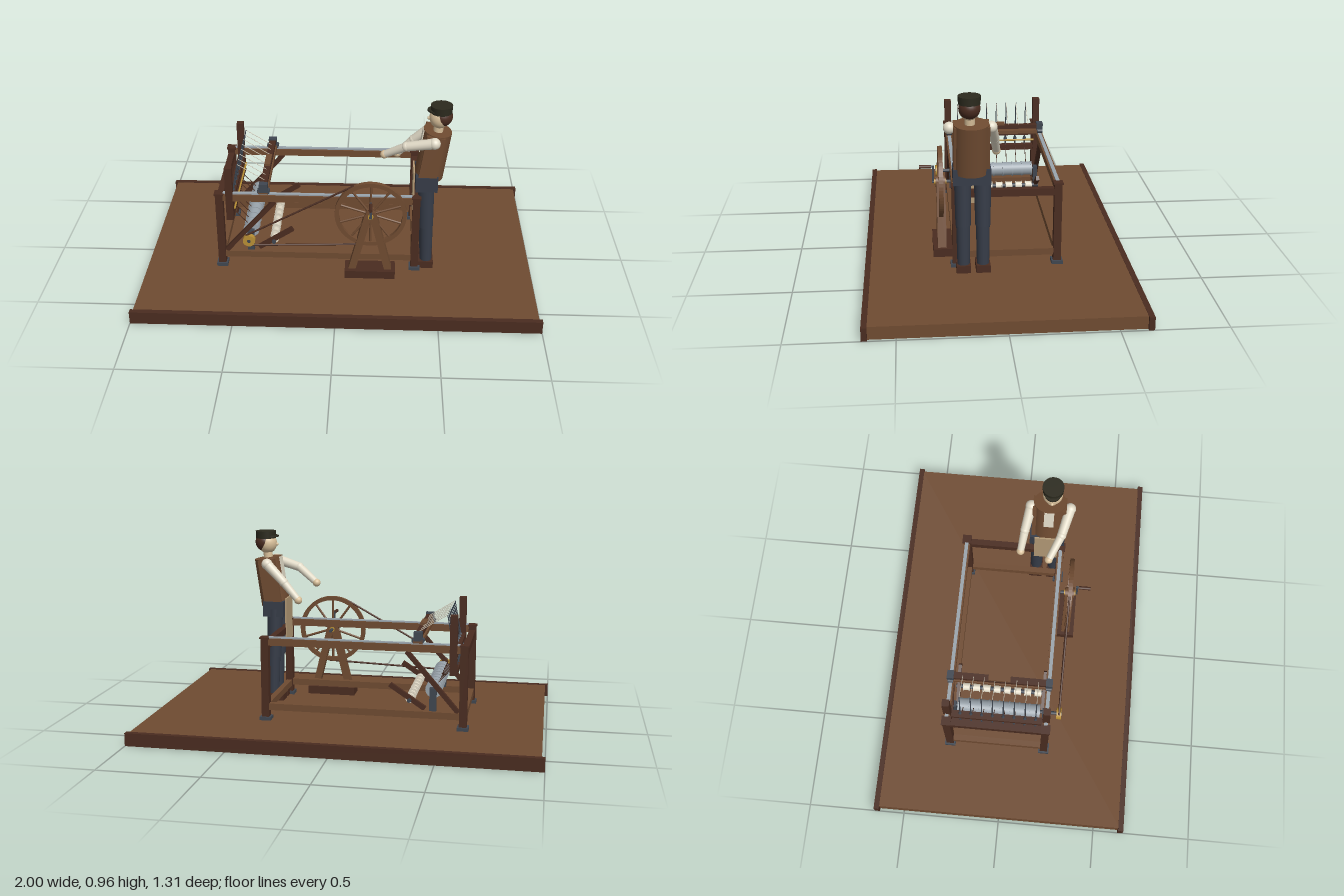
import * as THREE from 'three';

const mat = (name, color) => {
  const m = new THREE.MeshStandardMaterial({ color });
  m.name = name;
  return m;
};

export function createModel() {
  const root = new THREE.Group();
  const wood = mat('wood', 0x6f4b31);
  const darkWood = mat('dark wood', 0x4a2c20);
  const steel = mat('steel', 0x9aa4ac);
  const iron = mat('iron', 0x3f4650);
  const trousers = mat('trouser cloth', 0x363c48);
  const cream = mat('cream cloth', 0xe0d9c6);
  const brass = mat('brass', 0xb88f35);
  const capCloth = mat('cap cloth', 0x2c2a1e);
  const skin = mat('skin', 0xd9c09a);
  const tan = mat('apron cloth', 0xb39a76);

  const V = (x, y, z) => new THREE.Vector3(x, y, z);
  const add = (name, geo, m, x = 0, y = 0, z = 0, parent = root) => {
    const mesh = new THREE.Mesh(geo, m);
    mesh.name = name;
    mesh.position.set(x, y, z);
    parent.add(mesh);
    return mesh;
  };
  const box = (name, m, w, h, d, x, y, z, parent) => add(name, new THREE.BoxGeometry(w, h, d), m, x, y, z, parent);
  // Round bar between two points
  const bar = (name, m, a, b, r0, r1 = r0, seg = 12, parent = root) => {
    const dir = b.clone().sub(a);
    const mesh = add(name, new THREE.CylinderGeometry(r1, r0, dir.length(), seg), m, 0, 0, 0, parent);
    mesh.position.copy(a).add(b).multiplyScalar(0.5);
    mesh.quaternion.setFromUnitVectors(V(0, 1, 0), dir.normalize());
  };
  // Square beam in an x-y plane between two points
  const beam = (name, m, x0, y0, x1, y1, z, w, d) => {
    const mesh = box(name, m, Math.hypot(x1 - x0, y1 - y0), w, d, (x0 + x1) / 2, (y0 + y1) / 2, z);
    mesh.rotation.z = Math.atan2(y1 - y0, x1 - x0);
  };

  // Floor board with end battens
  box('floor', wood, 1.97, 0.063, 1.27, 0, 0.0315, 0);
  for (const s of [-1, 1]) box('floorBatten', darkWood, 2, 0.065, 0.027, 0, 0.0325, s * 0.641);

  // Main frame
  const zs = [-0.292, 0.205], xs = [-0.6, 0.39], zMid = -0.044;
  for (const z of zs) {
    for (const x of xs) {
      box('post', darkWood, 0.038, 0.415, 0.038, x, 0.272, z);
      box('postFoot', iron, 0.056, 0.018, 0.056, x, 0.071, z);
      box('postCap', darkWood, 0.048, 0.008, 0.048, x, 0.484, z);
    }
    box('topRail', wood, 0.99, 0.036, 0.034, -0.105, 0.465, z);
    box('steelTrack', steel, 0.95, 0.008, 0.018, -0.105, 0.486, z);
    box('bottomRail', wood, 0.99, 0.034, 0.03, -0.105, 0.132, z);
    beam('brace', darkWood, -0.575, 0.15, -0.32, 0.445, z, 0.022, 0.022);
  }
  for (const x of xs) {
    box('topCrossbeam', darkWood, 0.032, 0.036, 0.5, x, 0.443, zMid);
    box('bottomCrossbeam', wood, 0.03, 0.034, 0.5, x, 0.127, zMid);
  }

  // Spindle rack
  for (const z of zs) box('rackPost', darkWood, 0.036, 0.295, 0.036, -0.548, 0.485, z);
  box('spindleRail', darkWood, 0.036, 0.028, 0.5, -0.55, 0.348, zMid);
  box('upperSpindleRail', darkWood, 0.036, 0.02, 0.5, -0.548, 0.432, zMid);
  bar('brassRod', brass, V(-0.525, 0.395, -0.28), V(-0.525, 0.395, 0.2), 0.005);

  // Spindles with whorls, yarn and drive cords, plus the bobbins below
  for (let i = 0; i < 8; i++) {
    const z = -0.23 + i * 0.0545;
    const at = (t) => V(-0.56 + 0.05 * t, 0.35 + 0.27 * t, z);
    bar('spindle', iron, at(0), at(1), 0.004, 0.0025, 8);
    bar('whorl', iron, at(0.16), at(0.21), 0.011, 0.007);
    bar('spindleCollar', iron, at(0.33), at(0.38), 0.009, 0.005);
    bar('yarn', cream, at(1), V(-0.375, 0.535, z), 0.0018, 0.0018, 5);
    bar('driveCord', darkWood, at(0.1), V(-0.47, 0.28, z), 0.002, 0.002, 5);
    const bob = add('bobbin', new THREE.CylinderGeometry(0.02, 0.02, 0.032, 16), cream, -0.333, 0.195, z);
    bob.rotation.x = Math.PI / 2;
    for (const s of [-1, 1])
      add('bobbinFlange', new THREE.CylinderGeometry(0.023, 0.023, 0.004, 16), cream, 0, s * 0.016, 0, bob);
  }
  bar('bobbinAxle', iron, V(-0.333, 0.195, -0.285), V(-0.333, 0.195, 0.2), 0.011);
  for (const z of [-0.27, 0.182]) beam('creelArm', darkWood, -0.41, 0.155, -0.235, 0.27, z, 0.024, 0.018);

  // Drive drum and its bearings
  bar('drum', steel, V(-0.45, 0.25, -0.26), V(-0.45, 0.25, 0.17), 0.037, 0.037, 32);
  for (let i = 0; i < 9; i++) {
    const z = -0.257 + i * 0.053;
    bar('drumRing', steel, V(-0.45, 0.25, z - 0.003), V(-0.45, 0.25, z + 0.003), 0.041, 0.041, 32);
  }
  bar('drumShaft', iron, V(-0.45, 0.25, -0.29), V(-0.45, 0.25, 0.285), 0.009);
  bar('drivePulley', brass, V(-0.45, 0.25, 0.256), V(-0.45, 0.25, 0.282), 0.031, 0.031, 24);
  for (const z of [-0.28, 0.193]) box('drumBearing', iron, 0.034, 0.12, 0.022, -0.45, 0.205, z);

  // Clasp carriage riding on the tracks
  box('lowerClasp', wood, 0.045, 0.018, 0.53, -0.375, 0.498, zMid);
  box('upperClasp', darkWood, 0.034, 0.02, 0.51, -0.375, 0.526, zMid);
  box('claspHandle', wood, 0.03, 0.014, 0.11, -0.375, 0.542, -0.045);
  for (const z of zs) {
    box('carriageEnd', iron, 0.042, 0.045, 0.034, -0.375, 0.522, z);
    for (const x of [-0.395, -0.355])
      bar('carriageRoller', iron, V(x, 0.502, z - 0.014), V(x, 0.502, z + 0.014), 0.012);
  }

  // Hand wheel
  const wheel = new THREE.Group();
  wheel.name = 'handWheel';
  wheel.position.set(0.163, 0.42, 0.272);
  root.add(wheel);
  const rimShape = new THREE.Shape().absarc(0, 0, 0.179, 0, Math.PI * 2);
  rimShape.holes.push(new THREE.Path().absarc(0, 0, 0.158, 0, Math.PI * 2, true));
  add('rim', new THREE.ExtrudeGeometry(rimShape, { depth: 0.022, bevelEnabled: false, curveSegments: 32 }), wood, 0, 0, -0.011, wheel);
  for (let i = 0; i < 10; i++) {
    const a = Math.PI / 2 + i * Math.PI / 5;
    bar('spoke', wood, V(0, 0, 0), V(Math.cos(a) * 0.165, Math.sin(a) * 0.165, 0), 0.006, 0.006, 8, wheel);
  }
  bar('hub', wood, V(0, 0, -0.025), V(0, 0, 0.025), 0.028, 0.028, 20, wheel);
  bar('hubCap', brass, V(0, 0, -0.03), V(0, 0, 0.032), 0.014, 0.014, 16, wheel);
  bar('axle', iron, V(0, 0, -0.07), V(0, 0, 0.04), 0.008, 0.008, 10, wheel);
  box('crankArm', iron, 0.012, 0.09, 0.01, 0, 0.04, 0.036, wheel);
  bar('crankPin', iron, V(0, 0.08, 0.03), V(0, 0.08, 0.05), 0.005, 0.005, 8, wheel);
  bar('crankHandle', darkWood, V(0, 0.08, 0.045), V(0, 0.08, 0.105), 0.009, 0.009, 12, wheel);

  // Wheel stand and drive belt
  box('standBase', darkWood, 0.255, 0.042, 0.1, 0.163, 0.084, 0.265);
  for (const s of [-1, 1]) beam('standLeg', wood, 0.163 + s * 0.092, 0.1, 0.163 + s * 0.012, 0.42, 0.27, 0.036, 0.044);
  bar('beltTop', darkWood, V(-0.466, 0.277, 0.27), V(0.08, 0.578, 0.27), 0.005, 0.005, 8);
  bar('beltBottom', darkWood, V(-0.44, 0.22, 0.27), V(0.18, 0.243, 0.27), 0.005, 0.005, 8);

  // Standing figure, facing -x
  const man = new THREE.Group();
  man.name = 'spinner';
  root.add(man);
  for (const z of [0.173, 0.078]) {
    box('boot', darkWood, 0.1, 0.038, 0.07, 0.437, 0.082, z, man);
    bar('shin', trousers, V(0.45, 0.09, z), V(0.445, 0.32, z), 0.03, 0.034, 20, man);
    bar('thigh', trousers, V(0.443, 0.3, z), V(0.435, 0.56, z), 0.037, 0.042, 20, man);
  }
  box('hips', trousers, 0.11, 0.08, 0.18, 0.437, 0.56, 0.13, man);
  box('apron', tan, 0.008, 0.23, 0.13, 0.374, 0.5, 0.13, man);

  // Leaning torso with shirt front
  const torso = new THREE.Group();
  torso.name = 'torso';
  torso.position.set(0.465, 0.7, 0.132);
  torso.rotation.z = -0.15;
  man.add(torso);
  add('vest', new THREE.CylinderGeometry(0.07, 0.072, 0.25, 28), wood, 0, 0, 0, torso).scale.z = 1.18;
  box('shirtFront', cream, 0.008, 0.12, 0.05, -0.068, 0.062, 0, torso);
  for (const s of [-1, 1]) box('vestPanel', wood, 0.09, 0.24, 0.02, -0.01, 0, s * 0.075, torso);

  // Arms reaching to the wheel and the machine
  const arms = [
    [V(0.465, 0.8, 0.235), V(0.33, 0.765, 0.202), V(0.225, 0.692, 0.148)],
    [V(0.465, 0.8, 0.038), V(0.37, 0.71, 0.015), V(0.29, 0.622, 0)],
  ];
  for (const [shoulder, elbow, hand] of arms) {
    add('shoulder', new THREE.SphereGeometry(0.029, 20, 14), cream, ...shoulder.toArray(), man);
    add('elbow', new THREE.SphereGeometry(0.024, 20, 14), cream, ...elbow.toArray(), man);
    bar('upperArm', cream, shoulder, elbow, 0.027, 0.023, 18, man);
    bar('forearm', cream, elbow, hand, 0.022, 0.018, 18, man);
    add('hand', new THREE.SphereGeometry(0.021, 18, 12), skin, ...hand.toArray(), man);
  }

  // Head, hair and cap
  bar('neck', skin, V(0.483, 0.81, 0.14), V(0.488, 0.87, 0.14), 0.024, 0.024, 18, man);
  add('head', new THREE.SphereGeometry(0.05, 28, 20), skin, 0.488, 0.898, 0.142, man).scale.y = 1.1;
  add('hair', new THREE.SphereGeometry(0.051, 28, 20), darkWood, 0.501, 0.904, 0.142, man);
  add('nose', new THREE.SphereGeometry(0.009, 12, 8), skin, 0.437, 0.893, 0.142, man);
  add('cap', new THREE.CylinderGeometry(0.054, 0.052, 0.038, 28), capCloth, 0.496, 0.944, 0.142, man);
  add('capBrim', new THREE.CylinderGeometry(0.04, 0.04, 0.008, 24), capCloth, 0.468, 0.937, 0.142, man);

  return root;
}
